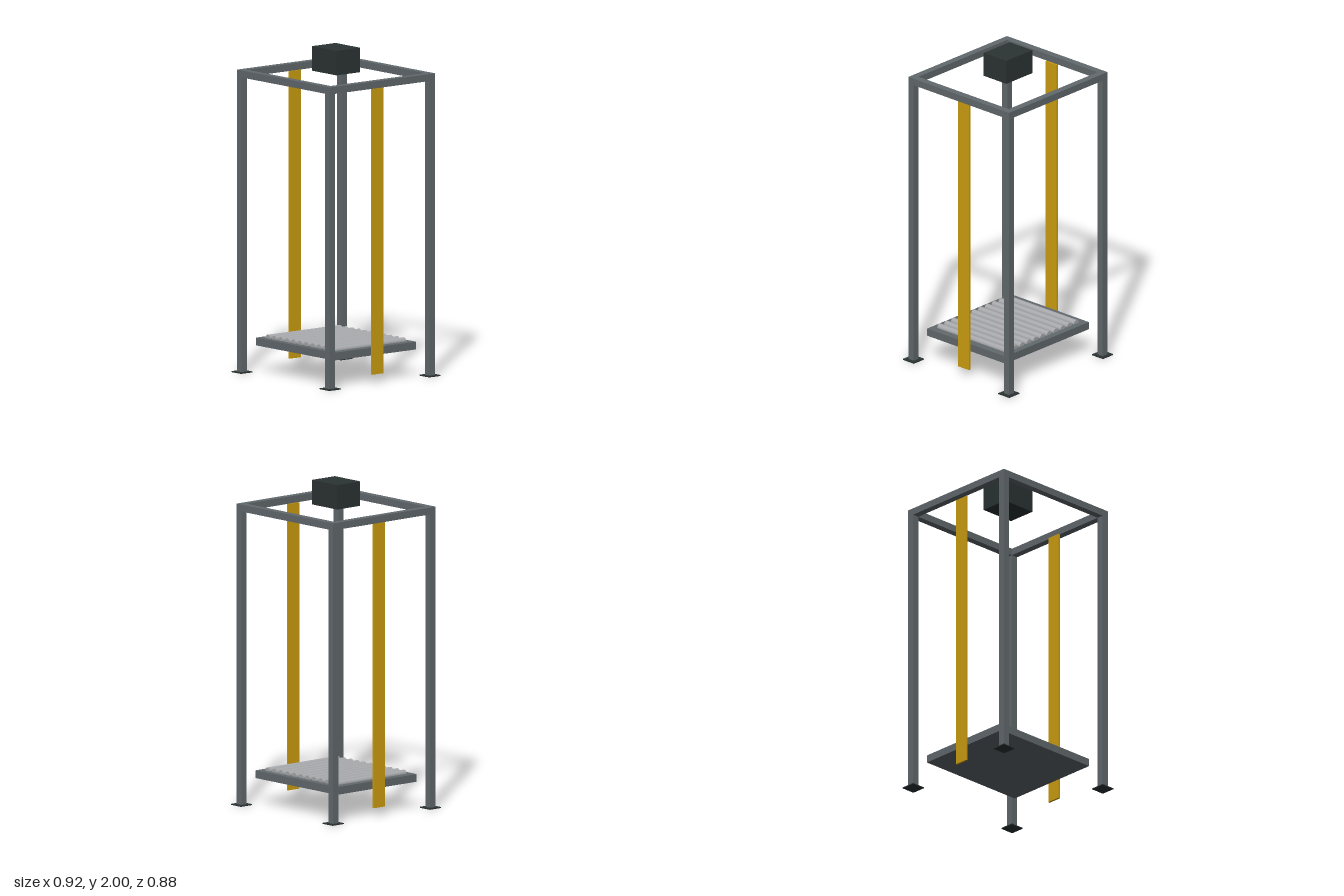
import * as THREE from 'three';

const material = (name, color) => {
  const m = new THREE.MeshStandardMaterial({ color });
  m.name = name;
  return m;
};

export function createModel() {
  const steel = material('steel grey', 0x636a6e);
  const dark = material('dark charcoal', 0x2b3433);
  const yellow = material('rail yellow', 0xd0a010);
  const silver = material('roller silver', 0xa8a9ac);

  const model = new THREE.Group();
  model.name = 'rollerLift';

  const add = (name, geometry, mat, x, y, z) => {
    const mesh = new THREE.Mesh(geometry, mat);
    mesh.name = name;
    mesh.position.set(x, y, z);
    model.add(mesh);
    return mesh;
  };
  const box = (name, mat, [w, h, d], [x, y, z]) =>
    add(name, new THREE.BoxGeometry(w, h, d), mat, x, y, z);

  const bar = 0.043, postX = 0.415, postZ = 0.393;
  const beamBottom = 1.807, frameTop = 1.85, footHeight = 0.006;

  for (const sx of [-1, 1]) {
    // Corner posts standing on foot plates
    for (const sz of [-1, 1]) {
      box('post', steel, [bar, beamBottom - footHeight, bar],
        [sx * postX, (beamBottom + footHeight) / 2, sz * postZ]);
      box('footPlate', dark, [0.091, footHeight, 0.091],
        [sx * postX, footHeight / 2, sz * postZ]);
    }
    // Side beams of the top frame
    box('sideBeam', steel, [bar, bar, 2 * postZ + bar],
      [sx * postX, frameTop - bar / 2, 0]);
    // Guide rails hung inside the side beams
    box('guideRail', yellow, [0.012, 1.757, 0.09], [sx * 0.3885, 0.9285, 0]);
  }

  // Front and back beams between the side beams
  for (const sz of [-1, 1]) {
    box('crossBeam', steel, [2 * postX - bar, bar, bar],
      [0, frameTop - bar / 2, sz * postZ]);
  }

  // Drive unit above the frame
  box('driveUnit', dark, [0.23, 0.15, 0.186], [0, 1.925, 0]);

  // Platform with half-sunk rollers
  box('platform', steel, [0.738, 0.047, 0.645], [0, 0.1865, 0]);
  const rollerGeometry = new THREE.CylinderGeometry(0.022, 0.022, 0.568, 16);
  rollerGeometry.rotateX(Math.PI / 2);
  for (let i = -5; i <= 5; i++) {
    add('roller', rollerGeometry, silver, i * 0.06, 0.211, 0);
  }

  return model;
}
